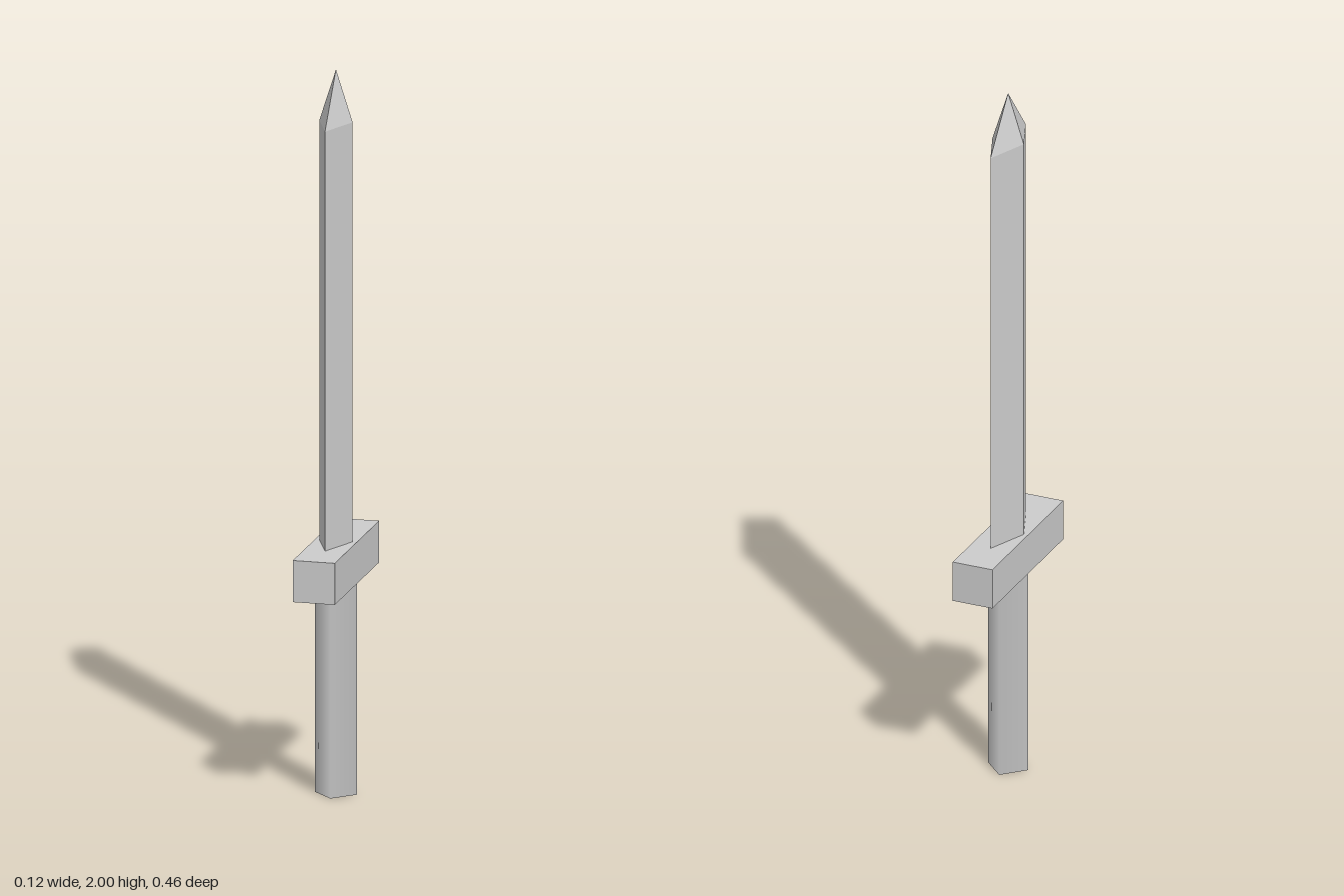
import * as THREE from 'three';

const smooth = new THREE.MeshStandardMaterial({ color: 0xcccccc });
const faceted = new THREE.MeshStandardMaterial({ color: 0xcccccc, flatShading: true });

const GRIP_TOP = 0.583, GUARD_TOP = 0.698, SHOULDER = 1.857, TIP = 2;
const BLADE_X = 0.046, BLADE_Z = 0.115;

export function createModel() {
  const sword = new THREE.Group();
  sword.name = 'sword';

  // Places a part so that it spans the heights y0 to y1
  const add = (name, geometry, material, y0, y1) => {
    const mesh = new THREE.Mesh(geometry, material);
    mesh.name = name;
    mesh.position.y = (y0 + y1) / 2;
    sword.add(mesh);
  };

  // Grip: four-sided post standing corner-on, with softened shading
  add('grip', new THREE.CylinderGeometry(0.058, 0.058, GRIP_TOP, 4), smooth, 0, GRIP_TOP);

  // Crossguard: plain bar running front to back
  add('crossguard', new THREE.BoxGeometry(0.116, GUARD_TOP - GRIP_TOP, 0.464), faceted, GRIP_TOP, GUARD_TOP);

  // Blade: long diamond section
  const blade = new THREE.CylinderGeometry(1, 1, SHOULDER - GUARD_TOP, 4);
  blade.scale(BLADE_X, 1, BLADE_Z);
  add('blade', blade, faceted, GUARD_TOP, SHOULDER);

  // Tip: the same diamond drawn to a point
  const tip = new THREE.ConeGeometry(1, TIP - SHOULDER, 4, 1, true);
  tip.scale(BLADE_X, 1, BLADE_Z);
  add('bladeTip', tip, faceted, SHOULDER, TIP);

  return sword;
}
